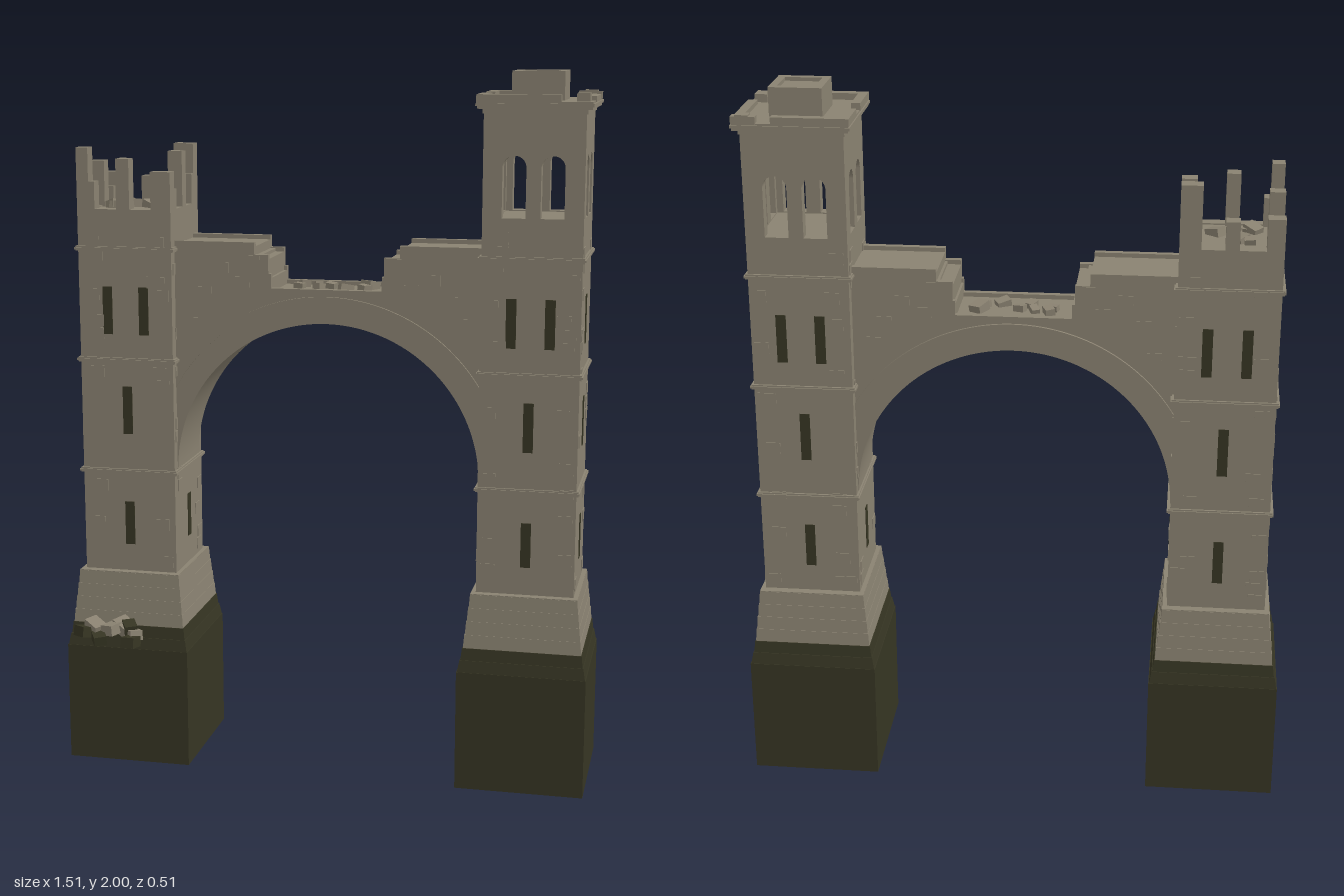
import * as THREE from 'three';
import { mergeGeometries, toCreasedNormals } from 'three/addons/utils/BufferGeometryUtils.js';

const CZ = -0.0635; // centre line of the bridge
const TX = 0.573;   // tower offset
const S = 0.1365;   // half width of a tower shaft

function seeded(seed) {
  return () => {
    seed = (seed * 16807) % 2147483647;
    return seed / 2147483647;
  };
}

export function createModel() {
  const model = new THREE.Group();
  const stone = new THREE.MeshStandardMaterial({ color: 0x8a8271 });
  const dark = new THREE.MeshStandardMaterial({ color: 0x363523 });
  stone.name = 'weathered stone';
  dark.name = 'dark wet stone';

  const add = (parent, name, geometry, material) => {
    const mesh = new THREE.Mesh(geometry, material);
    mesh.name = name;
    parent.add(mesh);
    return mesh;
  };
  // box given by its limits
  const block = (x0, x1, y0, y1, z0, z1) =>
    new THREE.BoxGeometry(x1 - x0, y1 - y0, z1 - z0)
      .translate((x0 + x1) / 2, (y0 + y1) / 2, (z0 + z1) / 2);
  const slab = (hx, hz, y0, y1) => block(-hx, hx, y0, y1, -hz, hz);
  // hollow rectangular wall ring
  const frame = (hx, hz, t, y0, y1) => mergeGeometries([
    block(-hx, hx, y0, y1, hz - t, hz), block(-hx, hx, y0, y1, -hz, t - hz),
    block(-hx, t - hx, y0, y1, t - hz, hz - t), block(hx - t, hx, y0, y1, t - hz, hz - t),
  ]);
  // four-sided tapered course, a little deeper than wide
  const taper = (h0, h1, y0, y1) => {
    const g = new THREE.CylinderGeometry(h1 * Math.SQRT2, h0 * Math.SQRT2, y1 - y0, 4)
      .rotateY(Math.PI / 4).scale(1, 1, 1.07).translate(0, (y0 + y1) / 2, 0).toNonIndexed();
    g.computeVertexNormals();
    return g;
  };
  // scattered blocks: [x, y, z, size]
  const rubble = (name, list, material, seed) => {
    const rnd = seeded(seed);
    const group = new THREE.Group();
    group.name = name;
    for (const [x, y, z, s] of list) {
      const m = add(group, 'fallenBlock', new THREE.BoxGeometry(s * 1.3, s * 0.75, s), material);
      m.position.set(x, y, z);
      m.rotation.set((rnd() - 0.5) * 0.5, rnd() * 3, (rnd() - 0.5) * 0.5);
    }
    model.add(group);
  };

  function tower(name, x, seed) {
    const g = new THREE.Group();
    g.name = name;
    g.position.set(x, 0, CZ);
    model.add(g);

    // hollow foundation and battered plinth
    add(g, 'foundationWall', frame(0.181, 0.193, 0.035, 0, 0.345), dark);
    add(g, 'foundationCeiling', slab(0.15, 0.16, 0.29, 0.34), dark);
    add(g, 'foundationCore', slab(0.025, 0.025, 0.06, 0.3), dark);
    add(g, 'foundationSlope', taper(0.179, 0.173, 0.345, 0.378), dark);
    add(g, 'foundationSlope', taper(0.171, 0.167, 0.378, 0.412), dark);
    for (let i = 0; i < 4; i++) {
      const h = 0.165 - i * 0.0042;
      add(g, 'plinthCourse', taper(h, h - 0.003, 0.412 + i * 0.038, 0.45 + i * 0.038), stone);
    }
    add(g, 'plinthCap', slab(0.149, 0.159, 0.556, 0.566), stone);

    // shaft with string courses
    add(g, 'shaft', slab(S, S, 0.56, 1.61), stone);
    for (const y of [0.862, 1.186, 1.503]) {
      add(g, 'stringCourse', slab(0.1425, 0.1425, y - 0.007, y + 0.007), stone);
      add(g, 'stringCourseLip', slab(0.146, 0.146, y - 0.003, y + 0.003), stone);
    }

    // slit windows and slightly proud stones on each face
    const rnd = seeded(seed);
    for (let f = 0; f < 4; f++) {
      const face = new THREE.Group();
      face.name = 'shaftFace';
      face.rotation.y = f * Math.PI / 2;
      g.add(face);
      const slits = [[0, 0.645, 0.772], [0, 0.972, 1.11]];
      for (const sx of f % 2 ? [0] : [-0.053, 0.053]) slits.push([sx, 1.26, 1.396]);
      for (const [sx, a, b] of slits)
        add(face, 'slitWindow', block(sx - 0.014, sx + 0.014, a, b, S - 0.004, S + 0.002), dark);
      const stones = [];
      for (let i = 0; i < 18; i++) {
        const side = i % 2 ? 1 : -1;
        const cx = side * (0.083 + rnd() * 0.028), y = 0.58 + Math.floor(rnd() * 27) * 0.037;
        stones.push(block(cx - 0.02, cx + 0.02, y, y + 0.033, S - 0.002, S + 0.0025));
      }
      add(face, 'proudStones', mergeGeometries(stones), stone);
    }
    return g;
  }

  // ---- ruined tower: broken piers around an open floor
  const ruined = tower('ruinedTower', -TX, 17);
  const piers = [ // x0, x1, z0, z1, top
    [-S, -0.102, 0.095, S, 1.785], [-0.102, -0.085, 0.095, S, 1.69],
    [-0.021, 0.017, 0.095, S, 1.755], [0.079, S, 0.095, S, 1.72],
    [-S, -0.09, -S, -0.095, 1.70], [-0.02, 0.017, -S, -0.095, 1.69],
    [0.079, S, -S, -0.095, 1.785], [0.095, S, -0.095, -0.075, 1.70],
    [-S, -0.095, -0.02, 0.018, 1.74], [0.095, S, -0.02, 0.018, 1.77],
    [-S, -0.1, -0.095, -0.075, 1.66], [0.1, S, 0.075, 0.095, 1.67],
  ];
  for (const [x0, x1, z0, z1, top] of piers)
    add(ruined, 'brokenPier', block(x0, x1, 1.605, top, z0, z1), stone);
  add(ruined, 'sill', frame(S, S, 0.035, 1.605, 1.614), stone);

  // ---- tall tower: arched belfry
  const tall = tower('tallTower', TX, 91);
  const arch = (cx) => {
    const p = new THREE.Path();
    p.moveTo(cx - 0.032, 1.613);
    p.lineTo(cx + 0.032, 1.613);
    p.lineTo(cx + 0.032, 1.748);
    p.absarc(cx, 1.748, 0.032, 0, Math.PI, false);
    p.lineTo(cx - 0.032, 1.613);
    return p;
  };
  for (let f = 0; f < 4; f++) {
    const w = f % 2 ? S - 0.035 : S; // side walls fit between front and back
    const wall = new THREE.Shape([[-w, 1.605], [w, 1.605], [w, 1.905], [-w, 1.905]]
      .map(([a, b]) => new THREE.Vector2(a, b)));
    wall.holes.push(arch(-0.052), arch(0.052));
    const geo = new THREE.ExtrudeGeometry(wall, { depth: 0.035, bevelEnabled: false, curveSegments: 14 })
      .translate(0, 0, S - 0.035);
    add(tall, 'belfryWall', geo, stone).rotation.y = f * Math.PI / 2;
  }
  // cornice, broken upper course and roof pedestal
  add(tall, 'roof', slab(0.14, 0.14, 1.89, 1.923), stone);
  add(tall, 'cornice', slab(0.153, 0.153, 1.903, 1.923), stone);
  add(tall, 'corniceLip', slab(0.157, 0.157, 1.91, 1.918), stone);
  const c = 0.155, t = 0.025;
  const coping = [
    [-c, 0.07, c - t, c, 1.941], [-c, 0.05, -c, t - c, 1.941], [0.09, c, -c, t - c, 1.941],
    [-c, t - c, t - c, -0.04, 1.941], [-c, t - c, 0.02, c - t, 1.941],
    [c - t, c, -0.1, 0.06, 1.935], [0.108, 0.143, 0.08, 0.125, 1.945], [0.108, 0.143, -c, -0.125, 1.945],
  ];
  for (const [x0, x1, z0, z1, top] of coping)
    add(tall, 'brokenCoping', block(x0, x1, 1.92, top, z0, z1), stone);
  add(tall, 'roofPedestal', slab(0.071, 0.071, 1.92, 1.99), stone);
  add(tall, 'pedestalRim', frame(0.071, 0.071, 0.021, 1.985, 2), stone);

  // ---- bridge: spandrel walls, deck core and arch ring
  const R = 0.435, RY = 0.87;
  const spandrel = (drop) => {
    const s = new THREE.Shape();
    s.moveTo(-0.46, 0.9);
    for (const [x, y] of [[-0.46, 1.527], [-0.205, 1.527], [-0.205, 1.493], [-0.165, 1.493],
      [-0.165, 1.44], [-0.157, 1.44], [-0.157, 1.4], [0.157, 1.4], [0.157, 1.44], [0.163, 1.44],
      [0.163, 1.493], [0.207, 1.493], [0.207, 1.527], [0.46, 1.527]])
      s.lineTo(x, y - drop);
    s.lineTo(0.46, 0.9);
    s.absarc(0, RY, 0.455, 0.066, Math.PI - 0.066, false);
    return s;
  };
  const extrude = (shape, z0, z1) => toCreasedNormals(
    new THREE.ExtrudeGeometry(shape, { depth: z1 - z0, bevelEnabled: false, curveSegments: 40 })
      .translate(0, 0, z0), 0.5);
  const bridge = new THREE.Group();
  bridge.name = 'bridge';
  bridge.position.z = CZ;
  model.add(bridge);
  add(bridge, 'deckCore', extrude(spandrel(0.012), -0.085, 0.085), stone);
  add(bridge, 'frontSpandrel', extrude(spandrel(0), 0.085, 0.103), stone);
  add(bridge, 'backSpandrel', extrude(spandrel(0), -0.103, -0.085), stone);
  const ring = (r0, r1) => {
    const s = new THREE.Shape();
    s.absarc(0, RY, r1, 0, Math.PI, false);
    s.absarc(0, RY, r0, Math.PI, 0, true);
    return s;
  };
  add(bridge, 'archRing', extrude(ring(R, 0.497), -0.106, 0.106), stone);
  add(bridge, 'archMoulding', extrude(ring(0.497, 0.511), -0.11, 0.11), stone);
  // proud stones on both bridge faces
  const bridgeStones = [];
  for (const [x, y] of [[-0.38, 1.28], [-0.3, 1.44], [-0.35, 1.37], [-0.24, 1.4], [-0.21, 1.46],
    [0.38, 1.3], [0.3, 1.42], [0.35, 1.36], [0.24, 1.39], [0.22, 1.46]])
    bridgeStones.push(block(x - 0.02, x + 0.02, y, y + 0.03, -0.1055, 0.1055));
  add(bridge, 'proudStones', mergeGeometries(bridgeStones), stone);

  // ---- fallen blocks
  rubble('deckRubble', [[-0.09, 1.398, -0.1, 0.026], [-0.05, 1.396, -0.09, 0.022], [-0.04, 1.397, -0.05, 0.024],
    [-0.01, 1.396, -0.08, 0.024], [0.04, 1.395, -0.04, 0.03], [0.1, 1.398, -0.09, 0.036],
    [0.09, 1.395, -0.06, 0.026], [-0.1, 1.395, -0.07, 0.022]], stone, 5);
  rubble('towerRubble', [[-0.62, 1.62, -0.13, 0.022], [-0.6, 1.618, -0.11, 0.028], [-0.58, 1.618, -0.07, 0.034],
    [-0.53, 1.616, -0.05, 0.034], [-0.63, 1.618, -0.02, 0.034], [-0.62, 1.616, -0.01, 0.028],
    [-0.59, 1.616, -0.03, 0.022]], stone, 23);
  rubble('footRubble', [[-0.6, 0.42, 0.18, 0.04], [-0.65, 0.425, 0.18, 0.04], [-0.57, 0.42, 0.155, 0.045],
    [-0.53, 0.41, 0.19, 0.036]], stone, 41);
  rubble('darkFootRubble', [[-0.68, 0.41, 0.19, 0.04], [-0.63, 0.4, 0.21, 0.036], [-0.53, 0.4, 0.225, 0.04],
    [-0.55, 0.425, 0.17, 0.036]], dark, 67);

  return model;
}
